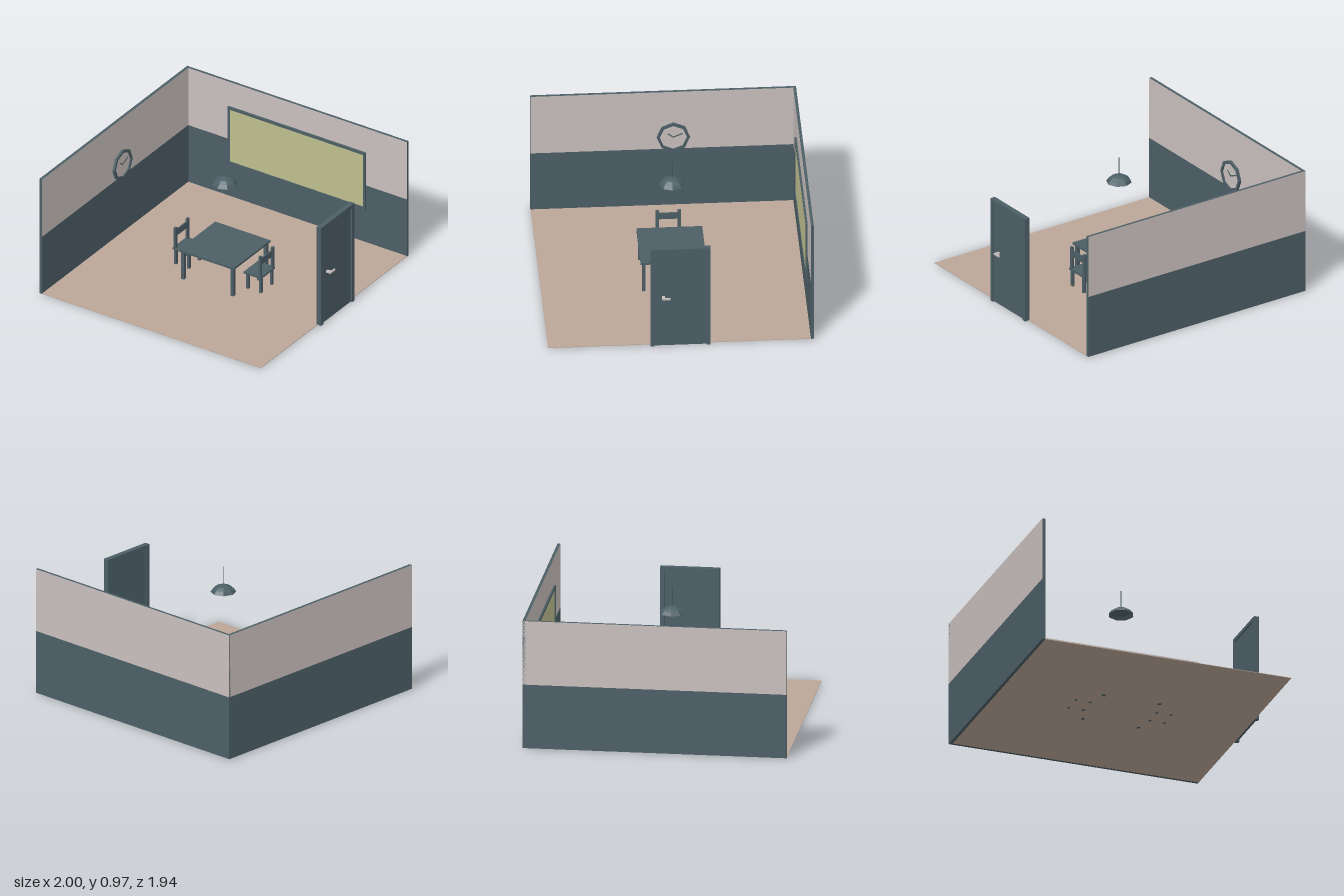
import * as THREE from 'three';

const mat = (name, color, extra = {}) => {
  const m = new THREE.MeshStandardMaterial({ color, ...extra });
  m.name = name;
  return m;
};

export function createModel() {
  const teal = mat('slate teal', 0x4c5f66, { flatShading: true, side: THREE.DoubleSide });
  const pale = mat('pale pink grey', 0xcac0be);
  const tan = mat('floor tan', 0xbca798);
  const yellow = mat('board yellow', 0xbfbf8f);

  const model = new THREE.Group();
  model.name = 'classroom';

  const group = (name, x = 0, y = 0, z = 0) => {
    const g = new THREE.Group();
    g.name = name;
    g.position.set(x, y, z);
    model.add(g);
    return g;
  };
  // Box given by its two extreme corners
  const box = (parent, name, material, [x0, y0, z0], [x1, y1, z1]) => {
    const geo = new THREE.BoxGeometry(x1 - x0, y1 - y0, z1 - z0);
    geo.translate((x0 + x1) / 2, (y0 + y1) / 2, (z0 + z1) / 2);
    const m = new THREE.Mesh(geo, material);
    m.name = name;
    parent.add(m);
    return m;
  };

  // Floor and two-tone walls (upper halves are pale on their broad faces only)
  box(model, 'floor', tan, [-0.977, 0.004, -0.952], [0.94, 0.008, 0.97]);
  const sideFaces = [pale, pale, teal, teal, teal, teal];
  const backFaces = [teal, teal, teal, teal, pale, pale];
  box(model, 'leftWallLower', teal, [-1, 0.004, -0.972], [-0.977, 0.488, 0.97]);
  box(model, 'leftWallUpper', sideFaces, [-1, 0.488, -0.972], [-0.977, 0.973, 0.97]);
  box(model, 'backWallLower', teal, [-1, 0.004, -0.973], [0.94, 0.488, -0.952]);
  box(model, 'backWallUpper', backFaces, [-1, 0.488, -0.973], [0.94, 0.973, -0.952]);

  // Wall board with a raised frame
  const board = group('board');
  const [bx0, bx1, by0, by1, bw] = [-0.625, 0.583, 0.286, 0.768, 0.021];
  const [zb, zf] = [-0.952, -0.938];
  box(board, 'boardPanel', yellow, [bx0 + bw, by0 + bw, zb], [bx1 - bw, by1 - bw, -0.944]);
  for (const y of [by0, by1 - bw]) box(board, 'boardRail', teal, [bx0, y, zb], [bx1, y + bw, zf]);
  for (const x of [bx0, bx1 - bw]) box(board, 'boardStile', teal, [x, by0 + bw, zb], [x + bw, by1 - bw, zf]);

  // Door, frame and lever handle
  const door = group('door');
  box(door, 'doorPanel', teal, [0.94, 0.005, -0.187], [0.957, 0.802, 0.192]);
  box(door, 'doorLintel', teal, [0.93, 0.802, -0.217], [0.97, 0.83, 0.222]);
  box(door, 'doorJamb', teal, [0.93, 0.004, -0.217], [0.97, 0.802, -0.187]);
  box(door, 'doorJamb', teal, [0.93, 0.004, 0.192], [0.97, 0.802, 0.222]);
  box(door, 'handleStem', pale, [0.957, 0.411, 0.116], [0.99, 0.426, 0.138]);
  box(door, 'handleLever', pale, [0.987, 0.414, 0.078], [1, 0.426, 0.138]);

  // Table
  const table = group('table', -0.022, 0, 0.003);
  box(table, 'tableTop', teal, [-0.242, 0.241, -0.241], [0.242, 0.257, 0.241]);
  for (const x of [-1, 1]) for (const z of [-1, 1]) {
    const [cx, cz] = [x * 0.217, z * 0.217];
    box(table, 'tableLeg', teal, [cx - 0.013, 0, cz - 0.013], [cx + 0.013, 0.241, cz + 0.013]);
  }

  // Chairs, built with the back on local -x
  const addChair = (name, x, turn) => {
    const c = group(name, x, 0, 0);
    c.rotation.y = turn;
    box(c, 'seat', teal, [-0.076, 0.134, -0.093], [0.076, 0.149, 0.093]);
    for (const s of [-1, 1]) {
      const z = s * 0.071;
      box(c, 'frontLeg', teal, [0.042, 0, z - 0.012], [0.062, 0.134, z + 0.012]);
      box(c, 'backLeg', teal, [-0.07, 0, z - 0.012], [-0.052, 0.134, z + 0.012]);
      box(c, 'backPost', teal, [-0.07, 0.149, s * 0.08 - 0.012], [-0.052, 0.318, s * 0.08 + 0.012]);
    }
    box(c, 'backRail', teal, [-0.067, 0.245, -0.07], [-0.055, 0.295, 0.07]);
  };
  addChair('leftwardChair', -0.341, 0);
  addChair('rightwardChair', 0.281, Math.PI);

  // Hanging lamp: open eight-sided shade on a cord
  const lamp = group('lamp', -0.022, 0, 0);
  const profile = [[0.095, 0.777], [0.078, 0.802], [0.05, 0.821], [0.022, 0.831], [0, 0.833]]
    .map(([r, y]) => new THREE.Vector2(r, y));
  const shade = new THREE.Mesh(new THREE.LatheGeometry(profile, 8), teal);
  shade.name = 'lampShade';
  const cord = new THREE.Mesh(new THREE.CylinderGeometry(0.003, 0.003, 0.143, 6), teal);
  cord.name = 'lampCord';
  cord.position.y = 0.9;
  lamp.add(shade, cord);

  // Octagonal wall clock facing +x
  const clock = group('clock', -0.977, 0.591, -0.074);
  clock.rotation.y = Math.PI / 2;
  const octagon = (r) => Array.from({ length: 8 }, (_, i) =>
    new THREE.Vector2(r * Math.cos(i * Math.PI / 4), r * Math.sin(i * Math.PI / 4)));
  const ring = new THREE.Shape(octagon(0.121));
  ring.holes.push(new THREE.Path(octagon(0.1)));
  const rim = new THREE.Mesh(new THREE.ExtrudeGeometry(ring, { depth: 0.018, bevelEnabled: false }), teal);
  rim.name = 'clockRim';
  const dial = new THREE.Mesh(new THREE.ShapeGeometry(new THREE.Shape(octagon(0.102))), pale);
  dial.name = 'clockFace';
  dial.position.z = 0.007;
  clock.add(rim, dial);
  for (const [name, length, angle] of [['minuteHand', 0.075, 0.4], ['hourHand', 0.05, 2.5]]) {
    const hand = box(clock, name, teal, [-0.005, -0.004, 0.008], [length, 0.004, 0.012]);
    hand.rotation.z = angle;
  }

  return model;
}
